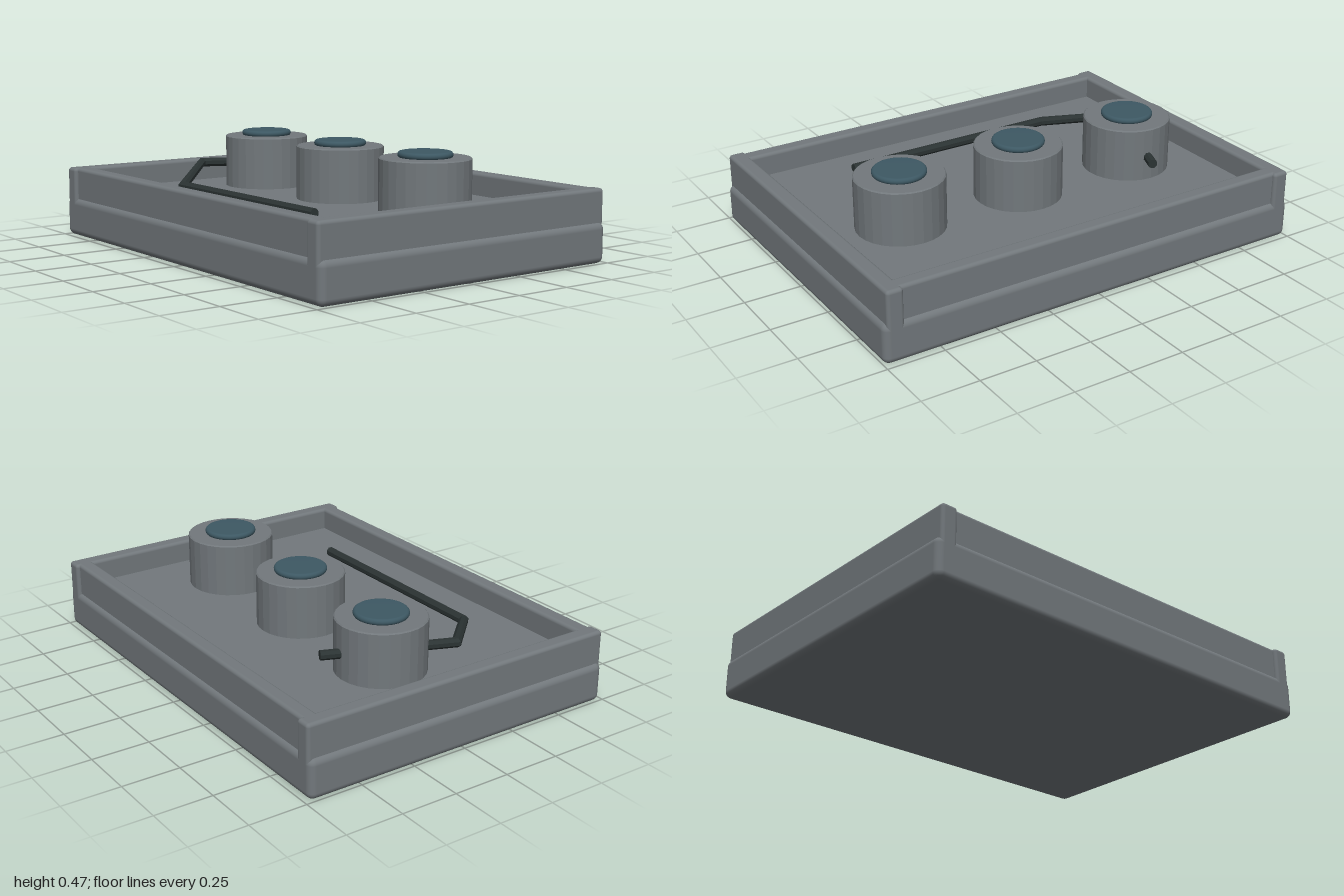
import * as THREE from 'three';
import { RoundedBoxGeometry } from 'three/addons/geometries/RoundedBoxGeometry.js';

const mat = (name, color, flatShading = false) => {
  const m = new THREE.MeshStandardMaterial({ color, flatShading });
  m.name = name;
  return m;
};

// Mitred eight-sided cable along a polyline of [x, y, z] points
function cableGeometry(path, radius, sides = 8) {
  const pts = path.map((p) => new THREE.Vector3(...p));
  const flatDir = (a, b) => new THREE.Vector3(b.x - a.x, 0, b.z - a.z).normalize();
  const pos = [];
  const index = [];
  const n = pts.length;
  pts.forEach((p, i) => {
    const before = flatDir(pts[Math.max(i - 1, 0)], pts[Math.max(i, 1)]);
    const after = flatDir(pts[Math.min(i, n - 2)], pts[Math.min(i + 1, n - 1)]);
    const t = before.clone().add(after).normalize();
    const wide = radius / t.dot(before);
    for (let j = 0; j < sides; j++) {
      const a = ((j + 0.5) / sides) * Math.PI * 2;
      const s = Math.cos(a) * wide;
      pos.push(p.x - t.z * s, p.y + Math.sin(a) * radius, p.z + t.x * s);
    }
  });
  for (let i = 0; i < n - 1; i++) {
    for (let j = 0; j < sides; j++) {
      const k = (j + 1) % sides;
      const a = i * sides + j, b = i * sides + k;
      index.push(a, a + sides, b, b, a + sides, b + sides);
    }
  }
  // End caps
  const last = (n - 1) * sides;
  for (let j = 1; j < sides - 1; j++) {
    index.push(0, j, j + 1, last, last + j + 1, last + j);
  }
  const g = new THREE.BufferGeometry();
  g.setAttribute('position', new THREE.Float32BufferAttribute(pos, 3));
  g.setIndex(index);
  g.computeVertexNormals();
  return g;
}

export function createModel() {
  const model = new THREE.Group();
  model.name = 'trayWithKnobs';
  const casing = mat('casing grey', 0x72787c);
  const knobGrey = mat('knob grey', 0x72787c, true);
  const teal = mat('cap teal', 0x3d5863);
  const dark = mat('cable dark', 0x2b3333, true);
  dark.side = THREE.DoubleSide;

  const add = (name, geometry, material, x, y, z) => {
    const m = new THREE.Mesh(geometry, material);
    m.name = name;
    m.position.set(x, y, z);
    model.add(m);
  };
  const box = (name, w, y0, y1, d, x, z, r) =>
    add(name, new RoundedBoxGeometry(w, y1 - y0, d, 4, r), casing, x, (y0 + y1) / 2, z);

  // Base slab and raised floor panel
  box('base', 2, 0, 0.175, 1.47, 0, 0, 0.03);
  add('floorPanel', new THREE.BoxGeometry(1.86, 0.113, 1.34), casing, 0, 0.1565, 0);

  // Rim walls: side walls run full depth, front and back are set in between them
  for (const s of [-1, 1]) {
    box(s > 0 ? 'leftWall' : 'rightWall', 0.073, 0.1, 0.315, 1.47, s * 0.9475, 0, 0.015);
    box(s > 0 ? 'frontWall' : 'backWall', 1.92, 0.1, 0.315, 0.07, 0, s * 0.684, 0.015);
  }

  // Three knobs with a fine bevel, each with a round-edged cap
  const knobProfile = [[0, 0.2], [0.193, 0.2], [0.193, 0.445], [0.188, 0.45], [0, 0.45]]
    .map(([r, y]) => new THREE.Vector2(r, y));
  const capProfile = [new THREE.Vector2(0, 0.447)];
  for (let i = 0; i <= 8; i++) {
    const a = (i / 8 - 0.5) * Math.PI;
    capProfile.push(new THREE.Vector2(0.102 + 0.013 * Math.cos(a), 0.461 + 0.014 * Math.sin(a)));
  }
  capProfile.push(new THREE.Vector2(0, 0.475));
  for (const x of [-0.58, 0, 0.58]) {
    add('knob', new THREE.LatheGeometry(knobProfile, 28), knobGrey, x, 0, -0.106);
    add('knobCap', new THREE.LatheGeometry(capProfile, 32), teal, x, 0, -0.106);
  }

  // Cable passing through the right knob and down toward the floor
  const path = [[-0.53, 0.32, -0.37], [-0.74, 0.32, 0.157], [-0.475, 0.257, 0.418], [0.528, 0.257, 0.418]];
  add('cable', cableGeometry(path, 0.021), dark, 0, 0, 0);
  return model;
}
